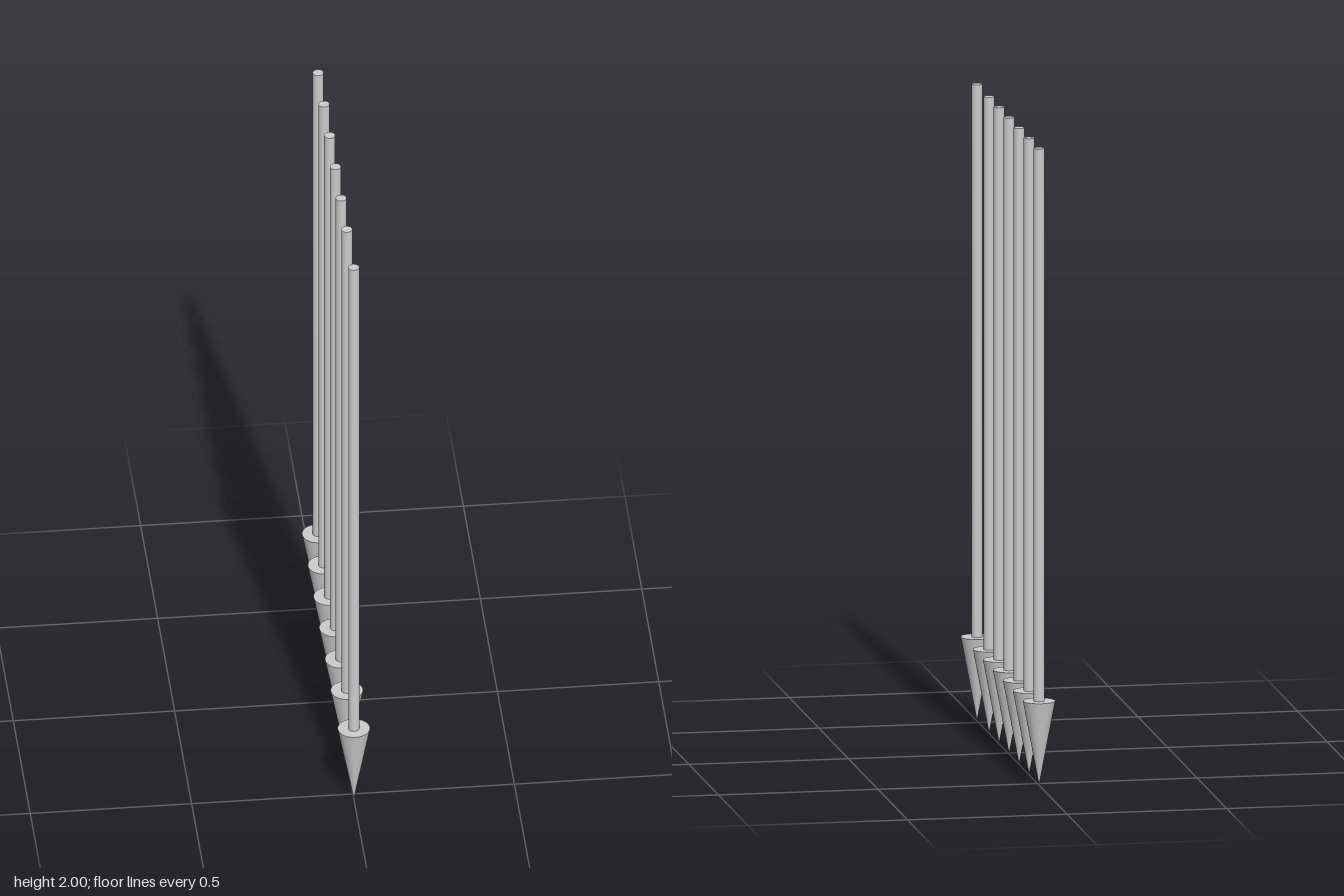
import * as THREE from 'three';

const HEIGHT = 2;
const HEAD_HEIGHT = 0.265;
const HEAD_RADIUS = 0.05;
const SHAFT_RADIUS = 0.017;

export function createModel() {
  const model = new THREE.Group();
  model.name = 'arrowRow';
  const material = new THREE.MeshStandardMaterial({ color: 0xcccccc });

  // Shaft standing on the flat top of the head
  const shaftHeight = HEIGHT - HEAD_HEIGHT;
  const shaftGeometry = new THREE.CylinderGeometry(SHAFT_RADIUS, SHAFT_RADIUS, shaftHeight, 32);
  shaftGeometry.translate(0, HEAD_HEIGHT + shaftHeight / 2, 0);

  // Cone head with its tip on the ground
  const headGeometry = new THREE.ConeGeometry(HEAD_RADIUS, HEAD_HEIGHT, 32);
  headGeometry.rotateX(Math.PI);
  headGeometry.translate(0, HEAD_HEIGHT / 2, 0);

  // Six evenly spaced arrows, and a front one set slightly further apart
  const positions = [0.525];
  for (let i = 0; i < 6; i++) positions.push(0.32 - i * 0.169);

  positions.forEach((z, i) => {
    const arrow = new THREE.Group();
    arrow.name = `arrow${i + 1}`;
    const shaft = new THREE.Mesh(shaftGeometry, material);
    shaft.name = 'shaft';
    const head = new THREE.Mesh(headGeometry, material);
    head.name = 'arrowHead';
    arrow.add(shaft, head);
    arrow.position.z = z;
    model.add(arrow);
  });

  return model;
}
